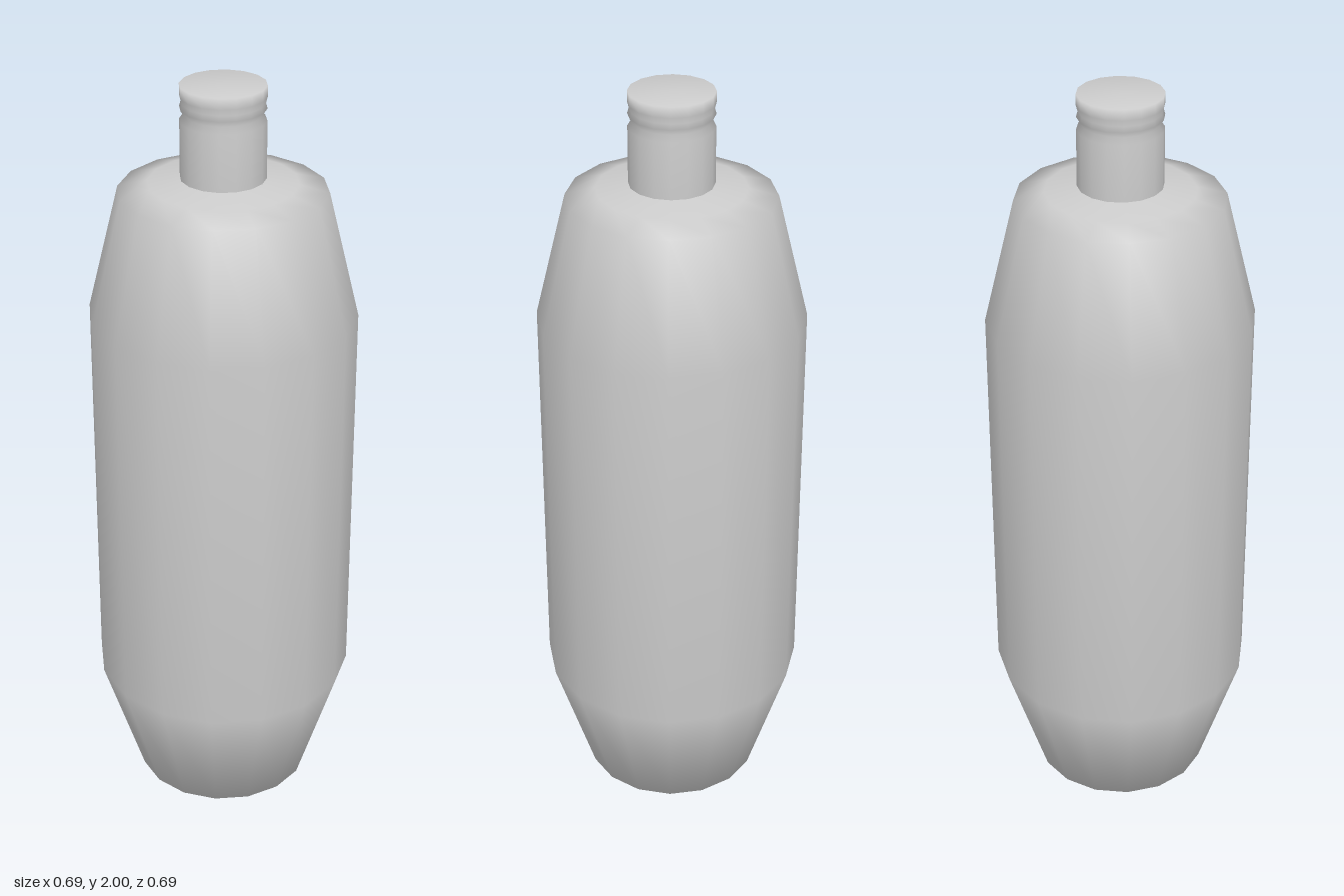
import * as THREE from 'three';

const SIDES = 16;

// Smooth lathe with outward faces; profile runs from bottom to top as [radius, y]
function turned(name, profile, material) {
  const points = profile.map(([r, y]) => new THREE.Vector2(r, y));
  const mesh = new THREE.Mesh(new THREE.LatheGeometry(points, SIDES), material);
  mesh.name = name;
  return mesh;
}

export function createModel() {
  const group = new THREE.Group();
  group.name = 'bottle';
  const material = new THREE.MeshStandardMaterial({ color: 0xcccccc });

  // Base, tapered foot, straight wall, tapered top and shallow shoulder
  group.add(turned('body', [
    [0, 0], [0.235, 0], [0.345, 0.345], [0.345, 1.4],
    [0.265, 1.728], [0.19, 1.748], [0.108, 1.762],
  ], material));

  // Neck with a narrow groove under the rounded lip, closed on top
  group.add(turned('neck', [
    [0.108, 1.762], [0.108, 1.91], [0.097, 1.926], [0.108, 1.942],
    [0.104, 1.956], [0.108, 1.972], [0.108, 2], [0, 2],
  ], material));

  return group;
}
